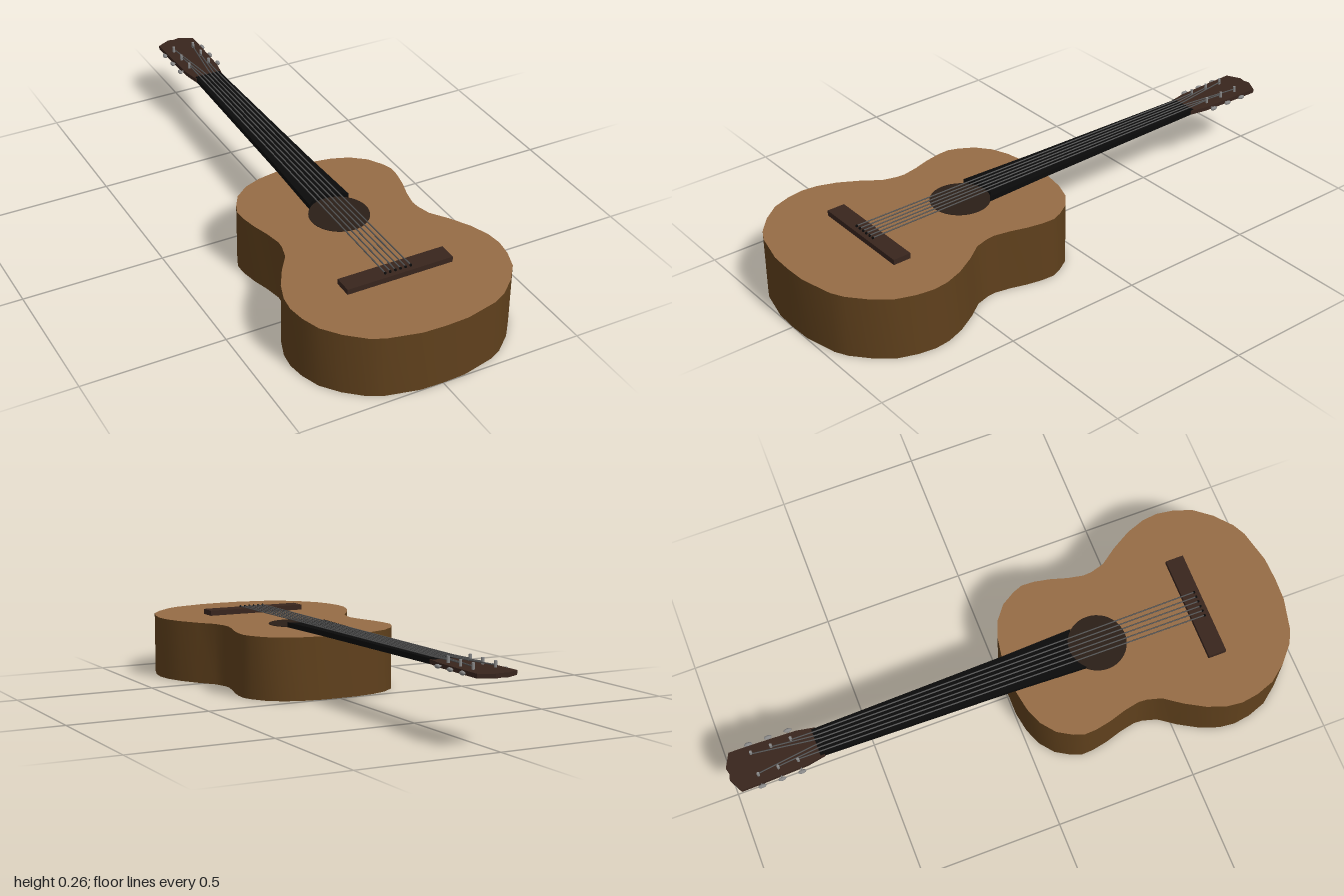
import * as THREE from 'three';
import { toCreasedNormals } from 'three/addons/utils/BufferGeometryUtils.js';

const mat = (color) => new THREE.MeshStandardMaterial({ color });

// Mirrors a right-hand outline of [x, z] points into a closed shape
function mirrored(half) {
  const left = half.filter(([x]) => x > 0).map(([x, z]) => [-x, z]).reverse();
  return new THREE.Shape([...half, ...left].map(([x, z]) => new THREE.Vector2(x, z)));
}

// Extrudes a plan shape (x, z) into a slab between two heights
function slab(shape, bottom, top, crease = 0.6) {
  const geo = new THREE.ExtrudeGeometry(shape, { depth: top - bottom, bevelEnabled: false });
  geo.rotateX(Math.PI / 2).translate(0, top, 0);
  return toCreasedNormals(geo, crease);
}

export function createModel() {
  const guitar = new THREE.Group();
  guitar.name = 'guitar';
  const spruce = mat(0x966c45), sideWood = mat(0x5f401c), rosewood = mat(0x38251d);
  const ebony = mat(0x0a0a0a), holeDark = mat(0x2b1f17), metal = mat(0x888888), stringGrey = mat(0x555555);

  const add = (name, geo, material, parent = guitar) => {
    const mesh = new THREE.Mesh(geo, material);
    mesh.name = name;
    parent.add(mesh);
    return mesh;
  };

  // Hourglass body: light top and back, darker sides
  const body = mirrored([
    [0.07, 0.005], [0.14, 0.017], [0.2, 0.04], [0.25, 0.08], [0.28, 0.13], [0.293, 0.165],
    [0.291, 0.21], [0.28, 0.265], [0.262, 0.325], [0.251, 0.38], [0.253, 0.41], [0.267, 0.46],
    [0.31, 0.52], [0.35, 0.59], [0.373, 0.655], [0.379, 0.71], [0.37, 0.77], [0.347, 0.835],
    [0.3, 0.895], [0.24, 0.947], [0.195, 0.97], [0.08, 0.997], [0, 1],
  ]);
  add('body', slab(body, 0, 0.222), [spruce, sideWood]);

  // Sound hole disc
  const holeZ = 0.33, holeR = 0.102;
  add('soundHole', new THREE.CylinderGeometry(holeR, holeR, 0.004, 40).translate(0, 0.222, holeZ), holeDark);

  // Tapered neck and fingerboard, its end curved round the sound hole
  const neckHalf = [[0.049, -0.69], [0.064, 0.0], [0.074, 0.26]];
  for (let i = 1; i <= 6; i++) {
    const x = 0.074 * (1 - i / 6);
    neckHalf.push([x, holeZ - Math.sqrt(holeR ** 2 - x ** 2)]);
  }
  add('neck', slab(mirrored(neckHalf), 0.222, 0.24), ebony);

  // Headstock
  const head = mirrored([
    [0, -0.995], [0.022, -1], [0.071, -0.975], [0.069, -0.88], [0.064, -0.74], [0.052, -0.675], [0, -0.675],
  ].reverse());
  add('headstock', slab(head, 0.224, 0.2385), rosewood);

  // Bridge
  add('bridge', new THREE.BoxGeometry(0.38, 0.02, 0.064).translate(0, 0.231, 0.697), rosewood);

  // Tuners: a post, shaft and button for each string
  const posts = [-0.765, -0.835, -0.905];
  const tuners = new THREE.Group();
  tuners.name = 'tuners';
  guitar.add(tuners);
  for (const side of [-1, 1]) {
    for (const z of posts) {
      add('tunerPost', new THREE.CylinderGeometry(0.005, 0.005, 0.03, 12).translate(side * 0.04, 0.245, z), metal, tuners);
      add('tunerShaft', new THREE.CylinderGeometry(0.003, 0.003, 0.03, 8)
        .rotateZ(Math.PI / 2).translate(side * 0.065, 0.231, z), metal, tuners);
      add('tunerButton', new THREE.SphereGeometry(1, 14, 10)
        .scale(0.007, 0.007, 0.014).translate(side * 0.078, 0.231, z), metal, tuners);
    }
  }

  // Strings run from the bridge over the nut to their posts, outermost to the nearest post
  const strings = new THREE.Group();
  strings.name = 'strings';
  guitar.add(strings);
  for (let i = 0; i < 6; i++) {
    const t = i - 2.5, side = Math.sign(t);
    const atBridge = new THREE.Vector3(t * 0.0185, 0.245, 0.71);
    const atNut = new THREE.Vector3(t * 0.0145, 0.2445, -0.68);
    const atPost = new THREE.Vector3(side * 0.037, 0.247, posts[Math.round(2.5 - Math.abs(t))]);
    const path = new THREE.CurvePath();
    path.add(new THREE.LineCurve3(atBridge, atNut));
    path.add(new THREE.LineCurve3(atNut, atPost));
    add('string', new THREE.TubeGeometry(path, 40, 0.0024, 6), stringGrey, strings);
    add('stringPin', new THREE.SphereGeometry(0.0045, 10, 8)
      .translate(atBridge.x, 0.244, atBridge.z), ebony, strings);
  }

  // Nut
  add('nut', new THREE.BoxGeometry(0.096, 0.005, 0.008).translate(0, 0.241, -0.68), ebony);

  return guitar;
}
